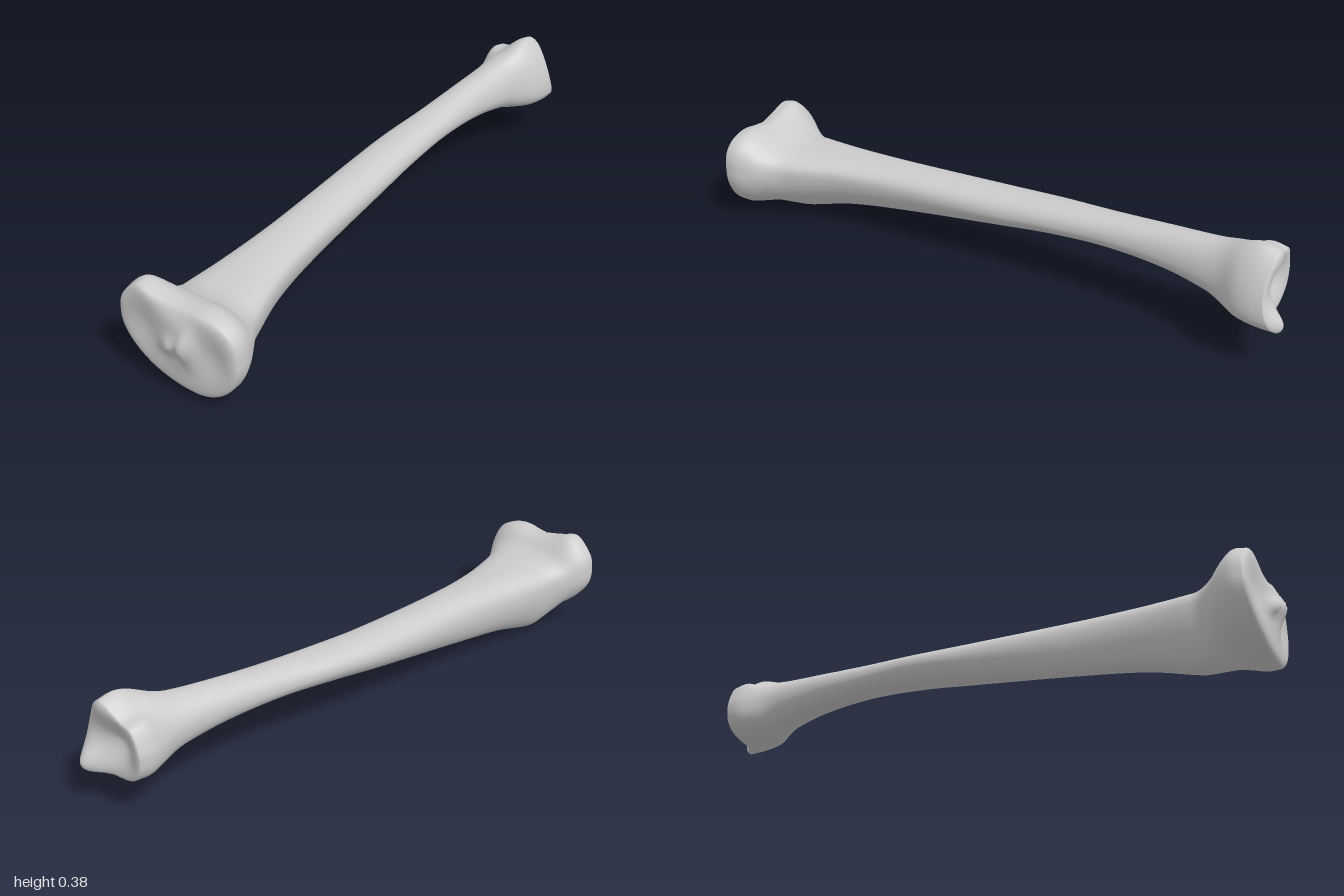
import * as THREE from 'three';

const AROUND = 72, ROWS = 130, CAP = 18;

// Cross-sections along z: [z, xMin, xMax, yMin, yMax, xOfBottom, xOfTop, yOfMinX, yOfMaxX, bottomPower, topPower]
const headSections = [
  [0.955, -0.208, 0.208, 0.030, 0.312, 0.06, 0.00, 0.20, 0.18, 1.05, 0.62],
  [0.92, -0.212, 0.208, 0.027, 0.318, 0.05, 0.00, 0.20, 0.18, 1.05, 0.64],
  [0.88, -0.197, 0.192, 0.030, 0.300, 0.02, 0.00, 0.19, 0.18, 1.05, 0.70],
  [0.85, -0.180, 0.174, 0.020, 0.272, -0.03, 0.00, 0.18, 0.18, 1.10, 0.75],
  [0.80, -0.152, 0.142, 0.006, 0.252, -0.06, 0.00, 0.17, 0.18, 1.10, 0.75],
];
const shaftSections = [
  [0.76, -0.147, 0.126, 0.006, 0.248, -0.06, -0.01, 0.17, 0.185, 1.1, 0.75],
  [0.60, -0.132, 0.082, 0.048, 0.250, -0.06, -0.03, 0.17, 0.195, 1.1, 0.8],
  [0.40, -0.120, 0.055, 0.080, 0.256, -0.06, -0.04, 0.18, 0.20, 1.1, 0.85],
  [0.00, -0.120, 0.041, 0.140, 0.269, -0.05, -0.04, 0.21, 0.21, 1.1, 0.9],
  [-0.20, -0.112, 0.040, 0.170, 0.280, -0.04, -0.03, 0.23, 0.225, 1.1, 0.9],
  [-0.40, -0.090, 0.045, 0.190, 0.295, -0.02, -0.02, 0.24, 0.24, 1.0, 0.9],
  [-0.60, -0.075, 0.060, 0.186, 0.315, 0.00, 0.00, 0.25, 0.24, 0.95, 0.95],
];
const ankleSections = [
  [-0.75, -0.069, 0.086, 0.166, 0.332, 0.02, 0.02, 0.25, 0.23, 0.9, 1.0],
  [-0.80, -0.072, 0.102, 0.151, 0.345, 0.03, 0.035, 0.25, 0.22, 0.85, 1.05],
  [-0.85, -0.086, 0.134, 0.141, 0.368, 0.04, 0.05, 0.24, 0.21, 0.8, 1.15],
  [-0.90, -0.100, 0.150, 0.135, 0.385, 0.05, 0.055, 0.24, 0.20, 0.75, 1.25],
  [-0.945, -0.096, 0.152, 0.134, 0.376, 0.06, 0.055, 0.24, 0.20, 0.75, 1.25],
];
const sections = [...headSections, ...shaftSections, ...ankleSections];
const Z_FRONT = sections[0][0], Z_BACK = sections[sections.length - 1][0];

const bell = (d, width) => Math.exp(-((d / width) ** 2));
const smooth = (v, a, b) => THREE.MathUtils.smoothstep(v, a, b);

// Smoothly interpolated section values at z (cubic Hermite)
function sectionAt(z) {
  const n = sections.length;
  let k = 0;
  while (k < n - 2 && z < sections[k + 1][0]) k++;
  const a = sections[k], b = sections[k + 1];
  const p = sections[Math.max(k - 1, 0)], q = sections[Math.min(k + 2, n - 1)];
  const h = b[0] - a[0], t = (z - a[0]) / h;
  return a.map((v, c) => {
    const m0 = h * (b[c] - p[c]) / (b[0] - p[0]);
    const m1 = h * (q[c] - v) / (q[0] - a[0]);
    return (2 * t ** 3 - 3 * t * t + 1) * v + (t ** 3 - 2 * t * t + t) * m0
      + (3 * t * t - 2 * t ** 3) * b[c] + (t ** 3 - t * t) * m1;
  });
}

// Point on the outline: four superelliptic quadrants plus bumps and grooves on the upper side
function outlinePoint(z, angle) {
  const [, x0, x1, y0, y1, xb, xt, yl, yr, pb, pt] = sectionAt(z);
  const c = Math.cos(angle), s = Math.sin(angle);
  const power = s > 0 ? pt : pb;
  const cx = s > 0 ? xt : xb, cy = c > 0 ? yr : yl;
  const x = cx + ((c > 0 ? x1 : x0) - cx) * Math.abs(c) ** power;
  let y = cy + ((s > 0 ? y1 : y0) - cy) * Math.abs(s) ** power;
  const upper = Math.max(s, 0);
  const head = smooth(z, 0.83, 0.92), ankle = smooth(-z, 0.8, 0.9);
  y += upper * head * (0.026 * bell(x + 0.135, 0.045) - 0.014 * bell(x - 0.01, 0.06));
  y += upper * ankle * (0.03 * bell(x + 0.075, 0.03) - 0.022 * bell(x + 0.015, 0.035));
  return [x, y];
}

// Relief of the knee face: twin shallow dishes and a forked central ridge
function kneeRelief(x, y) {
  return 0.026 * bell(x - 0.048, 0.022) * bell(y - 0.2, 0.05)
    + 0.02 * bell(x + 0.012, 0.035) * bell(y - 0.19 - 0.4 * x, 0.025)
    + 0.012 * bell(x - 0.02, 0.05) * bell(y - 0.2, 0.08)
    - 0.012 * bell(x + 0.12, 0.06) * bell(y - 0.2, 0.07)
    - 0.012 * bell(x - 0.13, 0.05) * bell(y - 0.18, 0.07)
    - 0.012 * bell(x - 0.01, 0.05) * bell(y - 0.3, 0.03);
}

// Relief of the ankle face: inner projection, rear lip and central hollow
function ankleRelief(x, y) {
  return -0.055 * bell(x - 0.11, 0.045) * bell(y - 0.16, 0.055)
    - 0.014 * bell(x - 0.06, 0.05) * bell(y - 0.35, 0.05)
    + 0.035 * bell(x - 0.005, 0.06) * bell(y - 0.24, 0.06);
}

// One continuous surface: knee cap rings, long body rows, ankle cap rings
function buildSurface() {
  const positions = [];
  const addRow = (z, scale, lift) => {
    const [, x0, x1, y0, y1] = sectionAt(z);
    const mx = (x0 + x1) / 2, my = (y0 + y1) / 2;
    for (let i = 0; i < AROUND; i++) {
      const [ox, oy] = outlinePoint(z, (i / AROUND) * Math.PI * 2);
      const x = mx + (ox - mx) * scale, y = my + (oy - my) * scale;
      const relief = kneeRelief(x, y) * smooth(z, 0.9, Z_FRONT)
        + ankleRelief(x, y) * smooth(-z, 0.86, -Z_BACK);
      positions.push(x, y, z + lift + relief);
    }
  };
  const dome = (s) => Math.sqrt(1 - s ** 10);
  const ring = (j) => Math.sin((j / CAP) * Math.PI / 2);
  for (let j = 0; j < CAP; j++) addRow(Z_FRONT, ring(j), 0.02 * dome(ring(j)));
  for (let j = 0; j <= ROWS; j++) addRow(THREE.MathUtils.lerp(Z_FRONT, Z_BACK, j / ROWS), 1, 0);
  for (let j = CAP - 1; j >= 0; j--) addRow(Z_BACK, ring(j), -0.008 * dome(ring(j)));
  return positions;
}

function rowIndices(from, to) {
  const index = [];
  for (let j = from; j < to; j++) {
    for (let i = 0; i < AROUND; i++) {
      const n = (i + 1) % AROUND;
      const a = j * AROUND + i, b = a + AROUND, c = j * AROUND + n, d = c + AROUND;
      index.push(a, b, c, b, d, c);
    }
  }
  return index;
}

export function createModel() {
  const group = new THREE.Group();
  group.name = 'shinBone';
  const material = new THREE.MeshStandardMaterial({ color: 0xcccccc, roughness: 0.8 });

  // Normals are computed over the whole bone so the parts join without seams
  const lastRow = ROWS + 2 * CAP;
  const whole = new THREE.BufferGeometry();
  whole.setAttribute('position', new THREE.Float32BufferAttribute(buildSurface(), 3));
  whole.setIndex(rowIndices(0, lastRow));
  whole.computeVertexNormals();

  const rowOf = (z) => CAP + Math.round(ROWS * (Z_FRONT - z) / (Z_FRONT - Z_BACK));
  const parts = [
    ['kneeHead', 0, rowOf(0.78)],
    ['shaft', rowOf(0.78), rowOf(-0.75)],
    ['ankleEnd', rowOf(-0.75), lastRow],
  ];
  for (const [name, from, to] of parts) {
    const geometry = new THREE.BufferGeometry();
    geometry.setAttribute('position', whole.getAttribute('position'));
    geometry.setAttribute('normal', whole.getAttribute('normal'));
    geometry.setIndex(rowIndices(from, to));
    const mesh = new THREE.Mesh(geometry, material);
    mesh.name = name;
    group.add(mesh);
  }
  return group;
}
